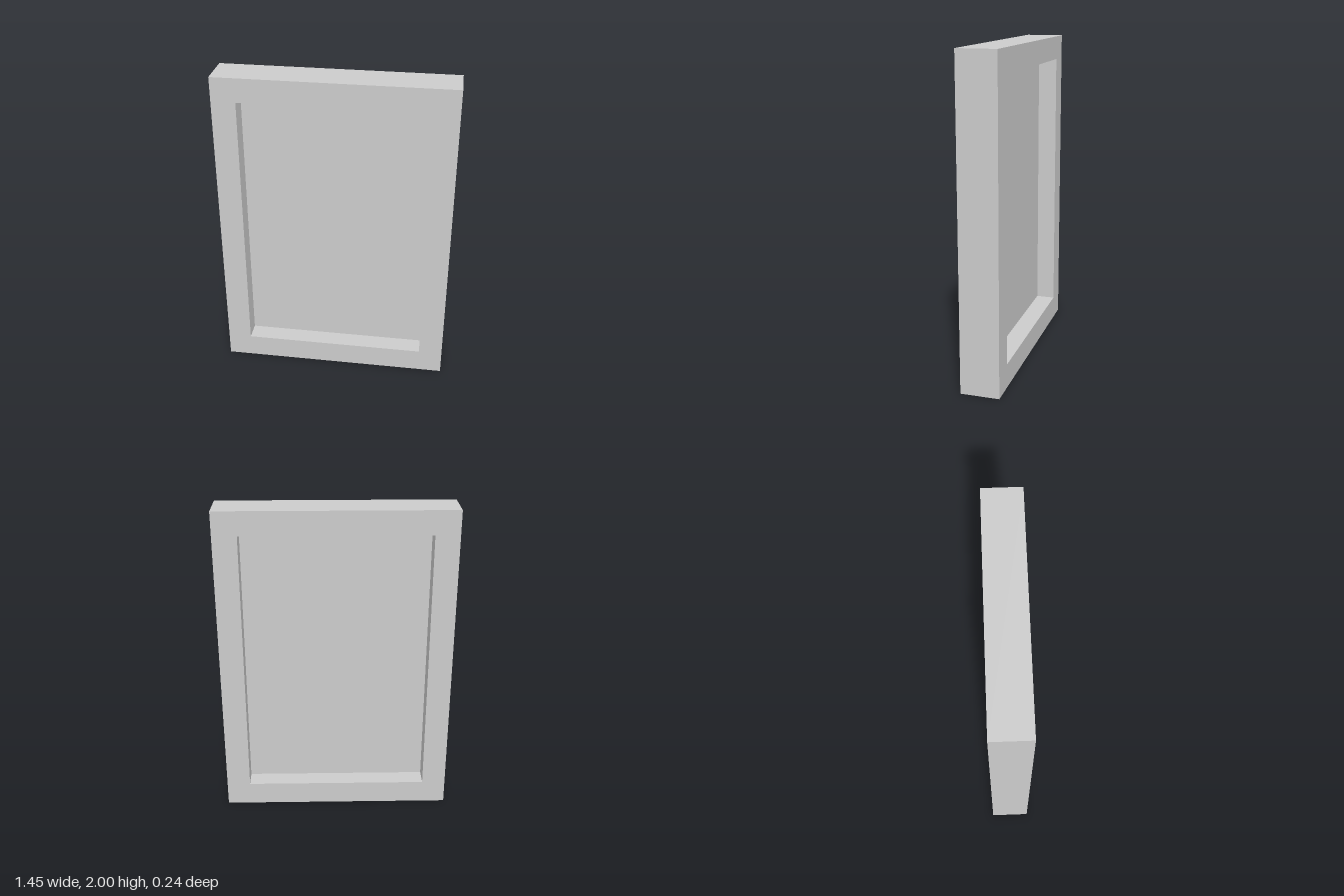
import * as THREE from 'three';

const WIDTH = 1.445, HEIGHT = 2, DEPTH = 0.24, BORDER = 0.149;

// Traces a rectangle centred on the origin
function rectangle(path, w, h) {
  path.moveTo(-w / 2, -h / 2);
  path.lineTo(w / 2, -h / 2);
  path.lineTo(w / 2, h / 2);
  path.lineTo(-w / 2, h / 2);
  path.closePath();
  return path;
}

export function createModel() {
  const group = new THREE.Group();
  group.name = 'window';
  const paneWidth = WIDTH - 2 * BORDER, paneHeight = HEIGHT - 2 * BORDER;

  // Square-edged frame with a rectangular opening
  const outline = rectangle(new THREE.Shape(), WIDTH, HEIGHT);
  outline.holes.push(rectangle(new THREE.Path(), paneWidth, paneHeight));
  const frameGeometry = new THREE.ExtrudeGeometry(outline, { depth: DEPTH, bevelEnabled: false });
  frameGeometry.translate(0, HEIGHT / 2, -DEPTH / 2);
  const frame = new THREE.Mesh(frameGeometry, new THREE.MeshStandardMaterial({ color: 0xcccccc }));
  frame.name = 'frame';
  group.add(frame);

  // Thin pane halfway through the frame, seen from both sides
  const pane = new THREE.Mesh(
    new THREE.PlaneGeometry(paneWidth, paneHeight),
    new THREE.MeshStandardMaterial({ color: 0xcccccc, side: THREE.DoubleSide })
  );
  pane.name = 'pane';
  pane.position.y = HEIGHT / 2;
  group.add(pane);

  return group;
}
